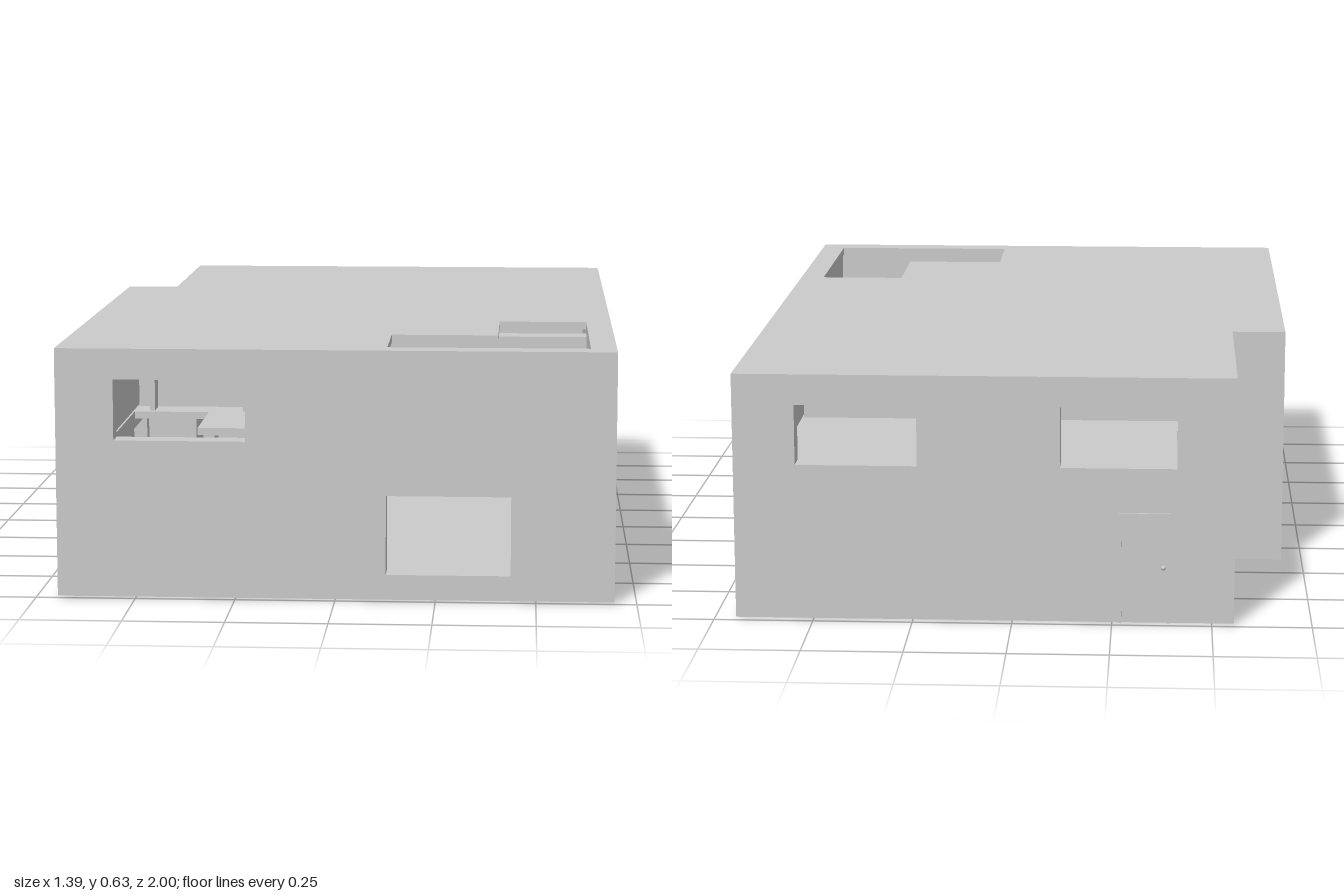
import * as THREE from 'three';

const T = 0.06; // wall thickness

export function createModel() {
  const house = new THREE.Group();
  house.name = 'house';
  const mat = new THREE.MeshStandardMaterial({ color: 0xcccccc, side: THREE.DoubleSide });

  const add = (name, geo, parent = house) => {
    const m = new THREE.Mesh(geo, mat);
    m.name = name;
    parent.add(m);
    return m;
  };
  // Box given by its limits
  const box = (name, x0, x1, y0, y1, z0, z1, parent) =>
    add(name, new THREE.BoxGeometry(x1 - x0, y1 - y0, z1 - z0)
      .translate((x0 + x1) / 2, (y0 + y1) / 2, (z0 + z1) / 2), parent);
  const poly = (pts, Type = THREE.Shape) => new Type(pts.map(p => new THREE.Vector2(...p)));
  const rect = (a, b, c, d) => [[a, c], [b, c], [b, d], [a, d]];
  const extrude = (outline, holes, depth) => {
    const s = poly(outline);
    s.holes = holes.map(h => poly(h, THREE.Path));
    return new THREE.ExtrudeGeometry(s, { depth, bevelEnabled: false });
  };

  // Walls with window openings, spanning a..b along x or along z
  const Y0 = 0.03, Y1 = 0.61;
  const wallX = (name, a, b, z, wins) =>
    add(name, extrude(rect(a, b, Y0, Y1), wins, T).translate(0, 0, z));
  const wallZ = (name, a, b, xMax, wins) =>
    add(name, extrude(rect(a, b, Y0, Y1), wins, T).rotateY(-Math.PI / 2).translate(xMax, 0, 0));
  const low = (a, b) => rect(a, b, 0.068, 0.267);
  const high = (a, b) => rect(a, b, 0.4, 0.553);

  wallX('frontWall', -0.695, 0.695, 1 - T, [high(-0.55, -0.222), low(0.127, 0.437)]);
  wallX('backWall', -0.555, 0.695, -0.99, [high(-0.41, -0.12), high(0.236, 0.54)]);
  wallZ('leftWall', -0.99 + T, 1 - T, 0.695, [low(0.53, 0.825), low(-0.095, 0.225), low(-0.835, -0.47)]);
  wallZ('rightWall', -0.385, 1 - T, -0.695 + T, [low(-0.28, 0), low(0.15, 0.44)]);
  wallZ('recessedWall', -0.99 + T, -0.385 + T, -0.555 + T, [low(-0.81, -0.51)]);
  wallX('recessReturnWall', -0.695 + T, -0.555, -0.385, []);

  // Floors and roof follow the stepped footprint, inset by d
  const footprint = d => [
    [-0.695 + d, 1 - d], [0.695 - d, 1 - d], [0.695 - d, -0.99 + d],
    [-0.555 + d, -0.99 + d], [-0.555 + d, -0.385 + d], [-0.695 + d, -0.385 + d],
  ];
  const slab = (name, top, thick, inset, holes) =>
    add(name, extrude(footprint(inset), holes, thick).rotateX(Math.PI / 2).translate(0, top, 0));
  const roofHole = [[0.127, 0.69], [0.4, 0.69], [0.4, 0.4], [0.63, 0.4], [0.63, 0.935], [0.127, 0.935]];
  const floorHole = [[-0.63, 0.02], [-0.42, 0.02], [-0.42, 0.3], [-0.15, 0.3], [-0.15, 0.53], [-0.63, 0.53]];
  slab('groundFloor', Y0, 0.025, 0, []);
  slab('upperFloor', 0.32, 0.02, T, [floorHole]);
  slab('roof', 0.63, 0.02, 0, [roofHole]);

  // Quarter-turn stairs: four treads, a landing, four treads
  const N = 4;
  const stairs = (name, base, rise, first, landing, second) => {
    const g = new THREE.Group();
    g.name = name;
    house.add(g);
    const tread = ([x0, x1, z0, z1], n) => box('step', x0, x1, base, base + rise * n, z0, z1, g);
    for (let i = 0; i < N; i++) {
      tread(first(i), i + 1);
      tread(second(i), i + 2 + N);
    }
    tread(landing, N + 1);
  };
  stairs('upperStairs', 0.32, 0.031,
    i => [0.127 + i * 0.068, 0.195 + i * 0.068, 0.69, 0.935],
    [0.4, 0.63, 0.69, 0.935],
    i => [0.4, 0.63, 0.6175 - i * 0.0725, 0.69 - i * 0.0725]);
  stairs('lowerStairs', Y0, 0.029,
    i => [-0.63, -0.42, 0.02 + i * 0.07, 0.09 + i * 0.07],
    [-0.63, -0.42, 0.3, 0.53],
    i => [-0.42 + i * 0.0675, -0.3525 + i * 0.0675, 0.3, 0.53]);
  box('stairWall', 0.2, 0.4, 0.32, 0.61, 0.67, 0.69);

  // Interior partitions
  box('lowerPartition', -0.02, 0, Y0, 0.3, -0.42, 0.06);
  box('lowerDoor', -0.015, -0.005, Y0, 0.285, 0.06, 0.2);
  box('upperPartition', -0.63, 0.63, 0.32, 0.61, -0.1, -0.08);
  box('upperDoor', -0.26, -0.13, 0.32, 0.59, -0.08, -0.07);

  // Desk on the upper floor
  box('deskTop', -0.6, -0.3, 0.415, 0.43, -0.07, 0);
  for (const x of [-0.59, -0.325]) box('deskLeg', x, x + 0.015, 0.32, 0.415, -0.07, 0);

  // Pedestal table on the ground floor
  const table = [[0, 0], [0.057, 0.005], [0.05, 0.035], [0.012, 0.05], [0.012, 0.13], [0.08, 0.13], [0.08, 0.145], [0, 0.145]];
  add('table', new THREE.LatheGeometry(table.map(p => new THREE.Vector2(...p)), 24).translate(-0.032, 0, 0.47));

  // Back door with frame and handle
  const door = new THREE.Group();
  door.name = 'backDoor';
  house.add(door);
  box('doorPanel', -0.386, -0.275, 0.008, 0.278, -0.993, -0.985, door);
  for (const x of [-0.395, -0.274]) box('doorPost', x, x + 0.009, 0.005, 0.287, -0.996, -0.985, door);
  box('doorLintel', -0.395, -0.265, 0.278, 0.287, -0.996, -0.985, door);
  const knob = (x, y, z) => add('doorHandle', new THREE.SphereGeometry(0.006, 12, 8).translate(x, y, z), door);
  knob(-0.378, 0.148, -0.995);
  knob(-0.235, 0.455, -0.065);
  knob(0, 0.145, 0.18);

  return house;
}
